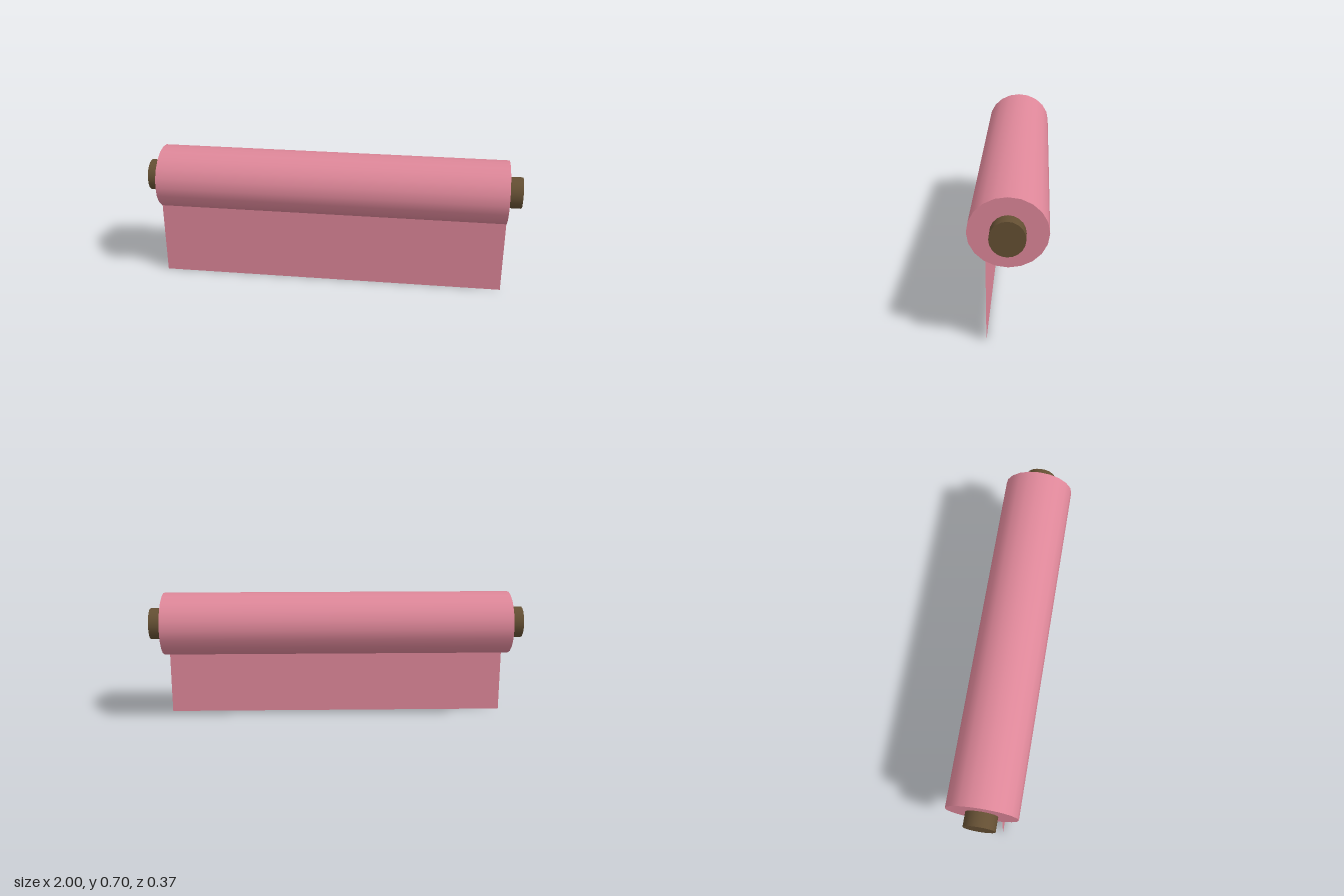
import * as THREE from 'three';

const SIDES = 20;
const AXIS_Y = 0.534;

// Slightly oval cylinder lying along x
function lyingCylinder(name, length, radiusY, radiusZ, material) {
  const geometry = new THREE.CylinderGeometry(1, 1, length, SIDES);
  geometry.rotateZ(Math.PI / 2);
  geometry.scale(1, radiusY, radiusZ);
  const mesh = new THREE.Mesh(geometry, material);
  mesh.name = name;
  mesh.position.y = AXIS_Y;
  return mesh;
}

export function createModel() {
  const pink = new THREE.MeshStandardMaterial({ color: 0xde8799 });
  pink.name = 'pink fabric';
  pink.side = THREE.DoubleSide;
  const brown = new THREE.MeshStandardMaterial({ color: 0x644f33 });
  brown.name = 'brown core';

  const model = new THREE.Group();
  model.name = 'fabricRoll';

  // Wound fabric and the rod through it
  model.add(lyingCylinder('roll', 1.85, 0.166, 0.184, pink));
  model.add(lyingCylinder('coreRod', 2, 0.083, 0.082, brown));

  // Loose end hanging from the front underside
  const top = 0.4;
  const sheet = new THREE.Mesh(new THREE.PlaneGeometry(1.85, top), pink);
  sheet.name = 'hangingSheet';
  sheet.position.set(0, top / 2, 0.1);
  model.add(sheet);

  return model;
}
